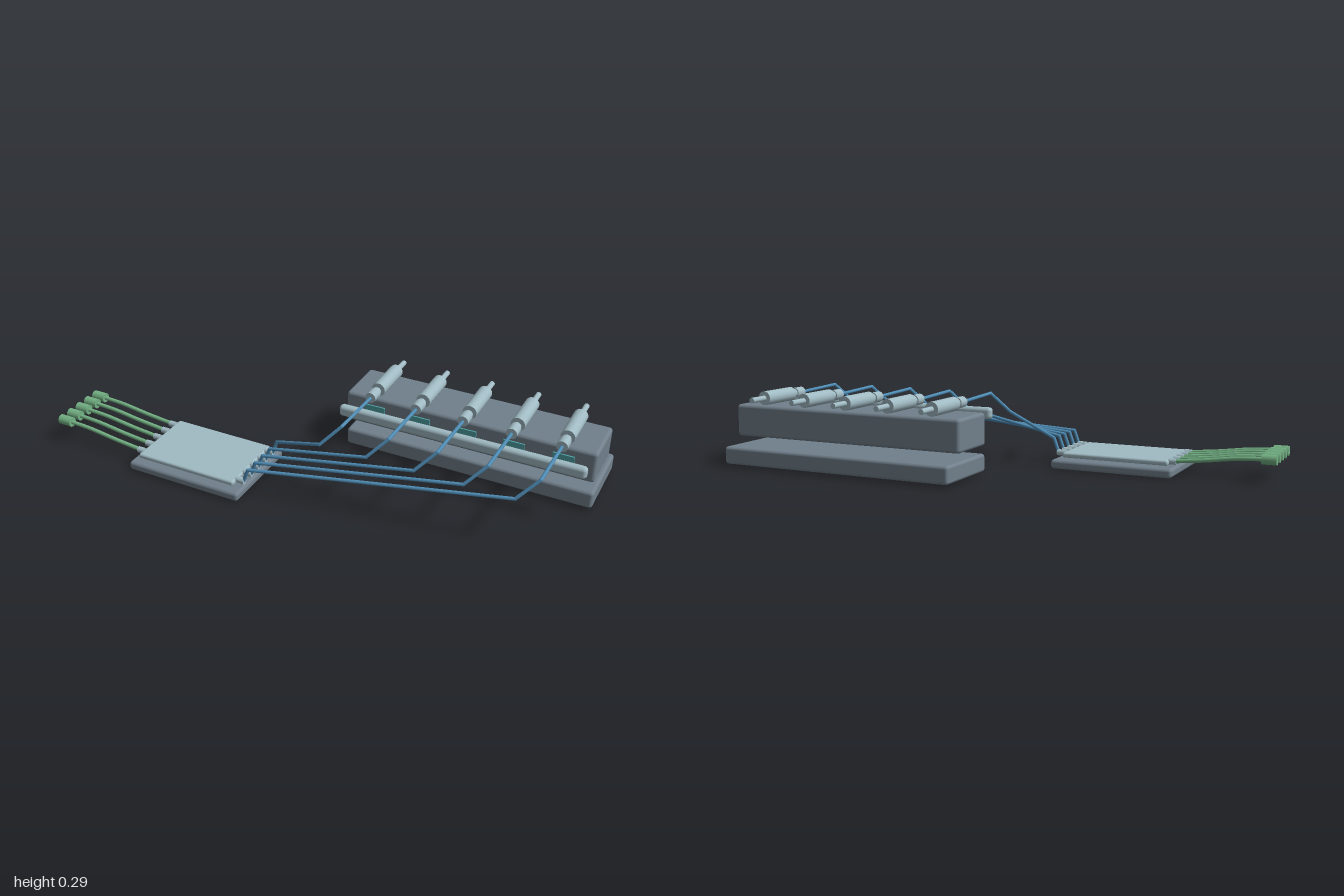
import * as THREE from 'three';
import { RoundedBoxGeometry } from 'three/addons/geometries/RoundedBoxGeometry.js';

export function createModel() {
  const model = new THREE.Group();
  model.name = 'wiredModules';
  const mat = (name, color) => {
    const m = new THREE.MeshStandardMaterial({ color });
    m.name = name;
    return m;
  };
  const slate = mat('slate', 0x71808c);
  const silver = mat('silver', 0xa0bac3);
  const green = mat('green', 0x72b083);
  const blue = mat('blue', 0x4f8db6);
  const teal = mat('teal', 0x4fa3a6);

  const add = (name, geometry, material, parent = model) => {
    const mesh = new THREE.Mesh(geometry, material);
    mesh.name = name;
    parent.add(mesh);
    return mesh;
  };
  // Rounded box given by its minimum and maximum on each axis
  const box = (name, [x0, x1], [y0, y1], [z0, z1], r, material) => {
    const geo = new RoundedBoxGeometry(x1 - x0, y1 - y0, z1 - z0, 3, r);
    geo.translate((x0 + x1) / 2, (y0 + y1) / 2, (z0 + z1) / 2);
    return add(name, geo, material);
  };
  // Cylinder running between two points
  const rod = (name, a, b, r, material, parent, sides = 20) => {
    const from = new THREE.Vector3(...a);
    const dir = new THREE.Vector3(...b).sub(from);
    const mesh = add(name, new THREE.CylinderGeometry(r, r, dir.length(), sides), material, parent);
    mesh.position.copy(from).addScaledVector(dir, 0.5);
    mesh.quaternion.setFromUnitVectors(new THREE.Vector3(0, 1, 0), dir.normalize());
    return mesh;
  };

  // Connector block, its base slab and the front rail
  box('blockBase', [0.02, 0.995], [0.008, 0.076], [-0.414, -0.118], 0.012, slate);
  box('connectorBlock', [0.012, 0.988], [0.108, 0.232], [-0.34, -0.132], 0.013, slate);
  box('frontRail', [0.035, 0.98], [0.191, 0.236], [-0.047, -0.014], 0.014, silver);

  // Flat module with a cover plate
  box('moduleBase', [-0.635, -0.16], [0, 0.035], [0.073, 0.415], 0.012, slate);
  box('modulePlate', [-0.61, -0.195], [0.04, 0.06], [0.106, 0.384], 0.008, silver);

  for (let i = 0; i < 5; i++) {
    const z = 0.138 + i * 0.053;
    const x = 0.133 + i * 0.184;

    // Green input lead on the module's outer side
    const lead = new THREE.Group();
    lead.name = 'inputLead';
    model.add(lead);
    rod('inputPlug', [-1, 0.088, z], [-0.945, 0.088, z], 0.019, green, lead);
    const path = new THREE.CatmullRomCurve3([
      [-0.95, 0.088], [-0.86, 0.083], [-0.74, 0.067], [-0.625, 0.055],
    ].map(([px, py]) => new THREE.Vector3(px, py, z)));
    add('inputCable', new THREE.TubeGeometry(path, 20, 0.008, 10), green, lead);
    rod('inputPort', [-0.634, 0.054, z], [-0.606, 0.054, z], 0.012, silver, lead);

    // Blue wire bent in straight runs from module to connector
    const wire = new THREE.Group();
    wire.name = 'outputWire';
    model.add(wire);
    rod('outputPort', [-0.2, 0.054, z], [-0.164, 0.054, z], 0.012, silver, wire);
    const bends = [
      [-0.168, 0.054, z], [-0.148, 0.108, z], [x - 0.07, 0.19, 0.194],
      [x, 0.265, 0.156], [x, 0.258, -0.085],
    ];
    for (let k = 1; k < bends.length; k++) {
      rod('wireRun', bends[k - 1], bends[k], 0.0065, blue, wire, 10);
      add('wireBend', new THREE.SphereGeometry(0.0065, 10, 8), blue, wire)
        .position.set(...bends[k]);
    }

    // Stepped connector on top of the block
    const connector = new THREE.Group();
    connector.name = 'connector';
    model.add(connector);
    const sections = [
      ['plug', -0.083, -0.13, 0.021], ['collar', -0.13, -0.143, 0.017],
      ['barrel', -0.154, -0.321, 0.027], ['pin', -0.321, -0.397, 0.0105],
    ];
    for (const [name, z0, z1, r] of sections) {
      rod(name, [x, 0.259, z0], [x, 0.259, z1], r, silver, connector);
    }

    // Indicator window on the block's front face
    add('indicator', new THREE.BoxGeometry(0.08, 0.038, 0.008), teal)
      .position.set(x, 0.181, -0.13);
  }
  return model;
}
